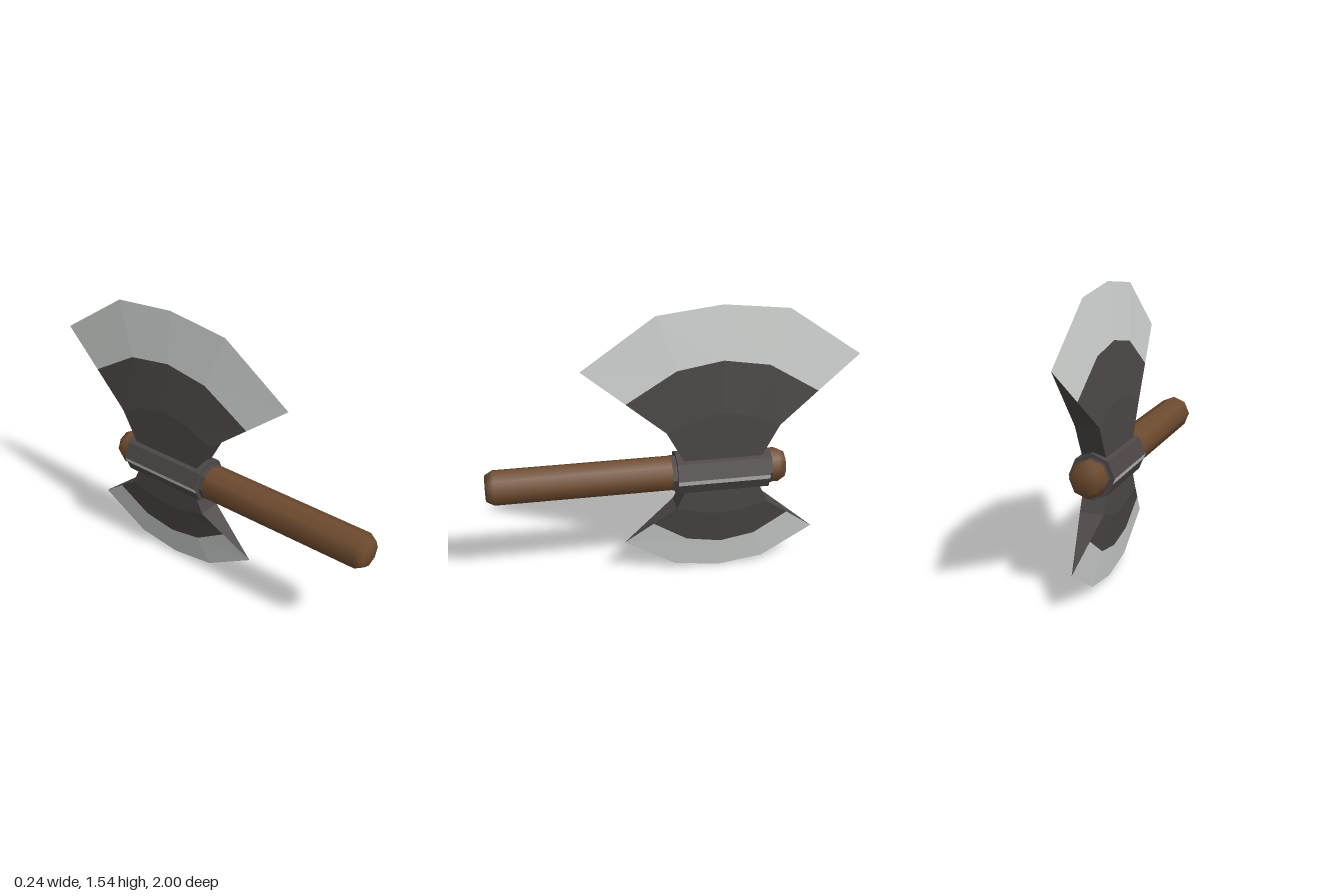
import * as THREE from 'three';

const darkIron = new THREE.MeshStandardMaterial({ name: 'darkIron', color: 0x4c4746, flatShading: true });
const steel = new THREE.MeshStandardMaterial({ name: 'steel', color: 0xcfd2d0, flatShading: true });
const wood = new THREE.MeshStandardMaterial({ name: 'wood', color: 0x6e4b2f });

const AXIS_Y = 0.61, HEAD_Z = -0.26, THICK = 0.063;

// Collects quads, turning each one to face its outward direction
function quadMesh(name, material, quads) {
  const pos = [];
  for (const { p: [a, b, c, d], out } of quads) {
    const n = b.clone().sub(a).cross(c.clone().sub(a)).add(c.clone().sub(a).cross(d.clone().sub(a)));
    const order = n.dot(out) > 0 ? [a, b, c, a, c, d] : [a, c, b, a, d, c];
    for (const v of order) pos.push(v.x, v.y, v.z);
  }
  const g = new THREE.BufferGeometry();
  g.setAttribute('position', new THREE.Float32BufferAttribute(pos, 3));
  g.computeVertexNormals();
  const mesh = new THREE.Mesh(g, material);
  mesh.name = name;
  return mesh;
}

// A blade lofted from root, neck and cutting edge; each row lists [half width, y]
// from the centre outwards, and split says where the ground steel begins
function makeBlade(name, { root, neck, edge, split }) {
  const point = (row, u, s, x) => {
    const [w, y] = row[Math.abs(u)];
    return new THREE.Vector3(s * x, y, HEAD_Z + Math.sign(u) * w);
  };
  const grind = (u, s) =>
    point(neck, u, s, THICK).lerp(point(edge, u, s, 0), split[Math.abs(u)]);
  const body = [], cutting = [];
  for (const s of [1, -1]) {
    const out = new THREE.Vector3(s, 0, 0);
    for (let u = -2; u < 2; u++) {
      const r = [u, u + 1].map(k => point(root, k, s, THICK));
      const n = [u, u + 1].map(k => point(neck, k, s, THICK));
      const m = [u, u + 1].map(k => grind(k, s));
      const e = [u, u + 1].map(k => point(edge, k, s, 0));
      body.push({ p: [r[0], r[1], n[1], n[0]], out }, { p: [n[0], n[1], m[1], m[0]], out });
      cutting.push({ p: [m[0], m[1], e[1], e[0]], out });
    }
  }
  // Front and back sides of the blade, running out to the tips
  for (const u of [2, -2]) {
    const out = new THREE.Vector3(0, 0, u);
    const [ra, rb] = [1, -1].map(s => point(root, u, s, THICK));
    const [na, nb] = [1, -1].map(s => point(neck, u, s, THICK));
    const [ma, mb] = [1, -1].map(s => grind(u, s));
    const tip = point(edge, u, 1, 0);
    body.push({ p: [ra, rb, nb, na], out }, { p: [na, nb, mb, ma], out }, { p: [ma, mb, tip, tip], out });
  }
  const group = new THREE.Group();
  group.name = name;
  group.add(quadMesh(name + 'Body', darkIron, body), quadMesh(name + 'CuttingEdge', steel, cutting));
  return group;
}

// Octagonal tube lying along z
function octagon(name, radius, z0, z1, material) {
  const g = new THREE.CylinderGeometry(radius, radius, z1 - z0, 8).rotateX(Math.PI / 2);
  const mesh = new THREE.Mesh(g, material);
  mesh.name = name;
  mesh.position.set(0, AXIS_Y, (z0 + z1) / 2);
  return mesh;
}

export function createModel() {
  const axe = new THREE.Group();
  axe.name = 'doubleAxe';

  // Handle with chamfered ends
  const profile = [[0, -0.61], [0.072, -0.608], [0.097, -0.565], [0.097, 0.955], [0.072, 0.998], [0, 1]]
    .map(([r, z]) => new THREE.Vector2(r, z));
  const handle = new THREE.Mesh(new THREE.LatheGeometry(profile, 8).rotateX(Math.PI / 2), wood);
  handle.name = 'handle';
  handle.position.y = AXIS_Y;
  axe.add(handle);

  // Collar around the handle, with a dark lip showing at both ends
  axe.add(octagon('collar', 0.12, -0.51, -0.01, darkIron));
  axe.add(octagon('collarLip', 0.099, -0.528, 0.015, darkIron));

  // Bright strip just under the widest corner on each side of the collar
  const strips = [];
  for (const s of [1, -1]) {
    const at = (x, y, z) => new THREE.Vector3(s * x, AXIS_Y + y, z);
    strips.push({
      p: [at(0.122, 0.002, -0.01), at(0.122, 0.002, -0.51), at(0.111, -0.027, -0.51), at(0.111, -0.027, -0.01)],
      out: new THREE.Vector3(s, 0, 0),
    });
  }
  axe.add(quadMesh('collarStrips', steel, strips));

  // Large upper blade and small lower blade
  axe.add(makeBlade('upperBlade', {
    root: [[0, 0.68], [0.1, 0.68], [0.2, 0.68]],
    neck: [[0, 0.97], [0.15, 0.94], [0.305, 0.875]],
    edge: [[0, 1.54], [0.35, 1.5], [0.74, 1.225]],
    split: [0.49, 0.48, 0.48],
  }));
  axe.add(makeBlade('lowerBlade', {
    root: [[0, 0.54], [0.1, 0.54], [0.195, 0.54]],
    neck: [[0, 0.37], [0.125, 0.385], [0.25, 0.42]],
    edge: [[0, 0], [0.25, 0.035], [0.53, 0.2]],
    split: [0.53, 0.51, 0.44],
  }));
  return axe;
}
